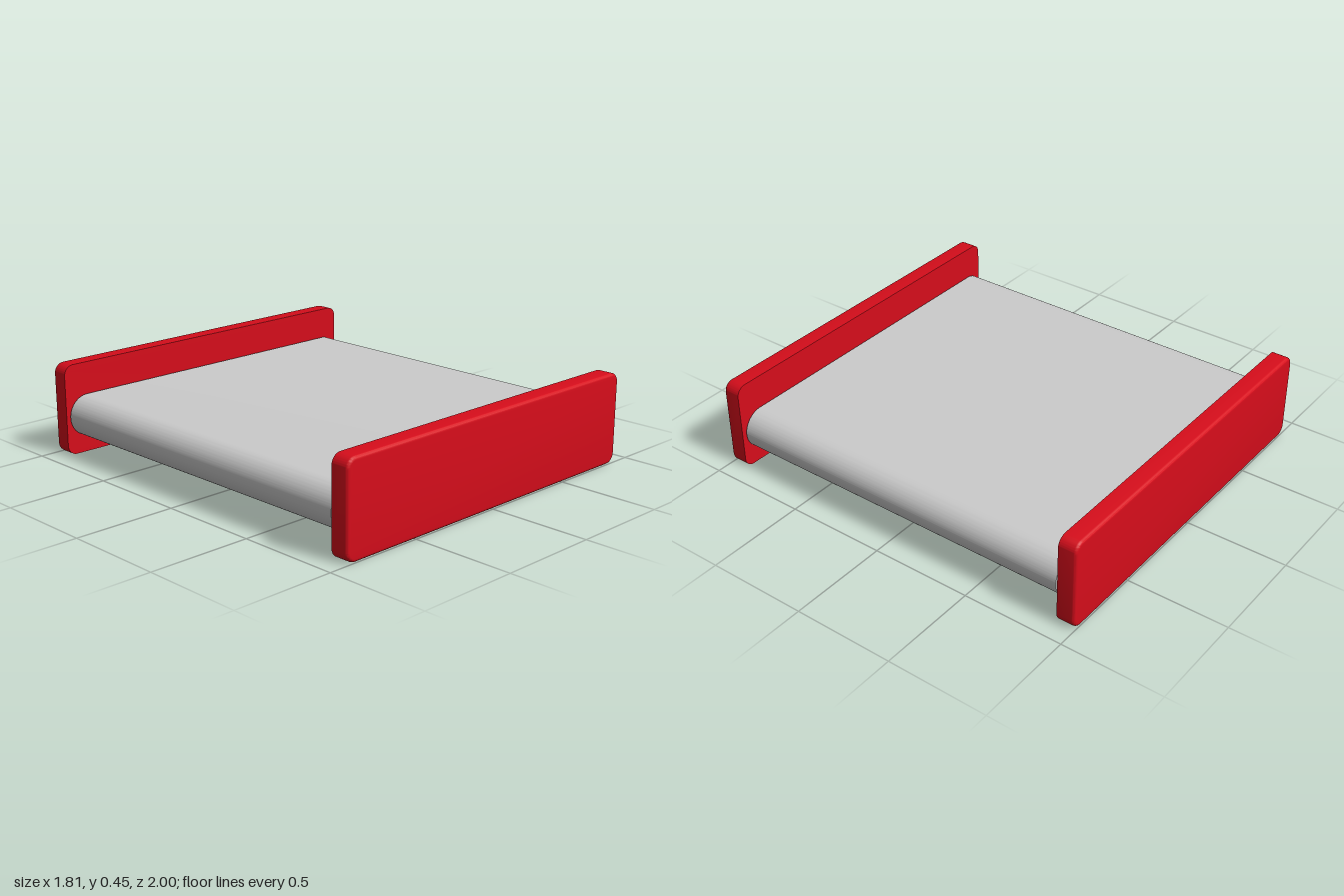
import * as THREE from 'three';
import { toCreasedNormals } from 'three/addons/utils/BufferGeometryUtils.js';

// Rounded rectangle centred on the origin
function roundedRect(w, h, r) {
  const x = w / 2 - r, y = h / 2 - r;
  const s = new THREE.Shape();
  s.absarc(x, y, r, 0, Math.PI / 2);
  s.absarc(-x, y, r, Math.PI / 2, Math.PI);
  s.absarc(-x, -y, r, Math.PI, Math.PI * 1.5);
  s.absarc(x, -y, r, Math.PI * 1.5, Math.PI * 2);
  return s;
}

export function createModel() {
  const model = new THREE.Group();
  model.name = 'conveyorBelt';
  const red = new THREE.MeshStandardMaterial({ color: 0xd60d1b });
  const grey = new THREE.MeshStandardMaterial({ color: 0xcccccc });

  // Flat belt loop with fully rounded ends
  const beltLength = 1.79, beltHeight = 0.205;
  const beltGeo = new THREE.ExtrudeGeometry(
    roundedRect(1.786, beltHeight, beltHeight / 2 - 0.0005),
    { depth: beltLength, bevelEnabled: false, curveSegments: 16 });
  beltGeo.translate(0, 0.193, -beltLength / 2);
  const belt = new THREE.Mesh(toCreasedNormals(beltGeo, 0.6), grey);
  belt.name = 'belt';
  model.add(belt);

  // Side plate: softened outer edge, flat sharp inner face
  const bevel = 0.015, thickness = 0.09;
  const plateGeo = new THREE.ExtrudeGeometry(roundedRect(1.81, 0.45, 0.05), {
    depth: thickness - bevel, curveSegments: 8,
    bevelThickness: bevel, bevelSize: bevel, bevelOffset: -bevel, bevelSegments: 4,
  });
  const pos = plateGeo.attributes.position;
  for (let i = 0; i < pos.count; i++) pos.setZ(i, Math.max(0, pos.getZ(i)));
  plateGeo.translate(0, 0.225, 1 - thickness);
  const plate = toCreasedNormals(plateGeo, 0.7);

  for (const [name, turn] of [['frontPlate', 0], ['backPlate', Math.PI]]) {
    const mesh = new THREE.Mesh(plate, red);
    mesh.name = name;
    mesh.rotation.y = turn;
    model.add(mesh);
  }
  return model;
}
